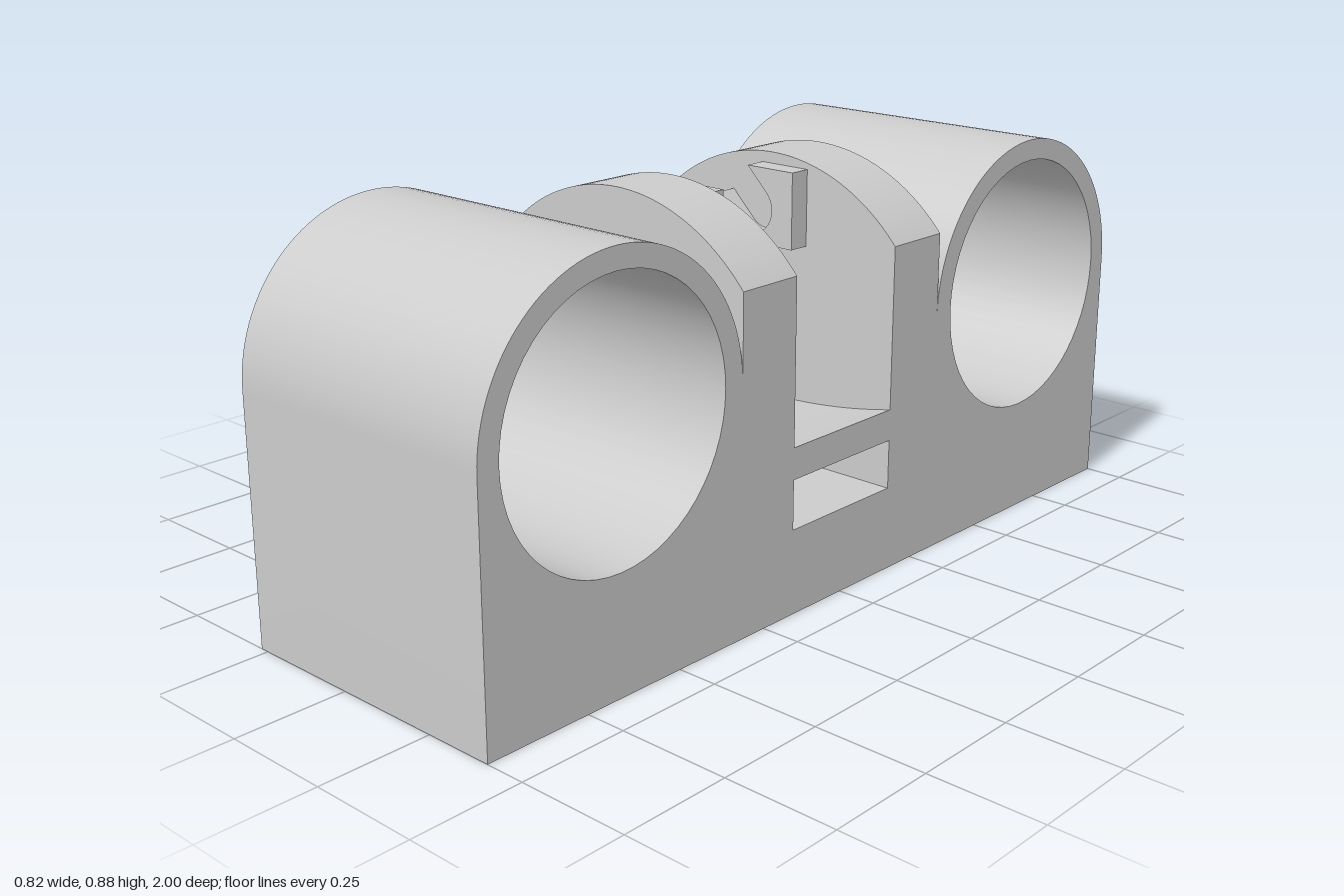
import * as THREE from 'three';
import { toCreasedNormals } from 'three/addons/utils/BufferGeometryUtils.js';

const material = new THREE.MeshStandardMaterial({ color: 0xcccccc });

// Extrude a shape drawn in x,y from z = 0 to z = depth
function extrude(shape, depth) {
  const geo = new THREE.ExtrudeGeometry(shape, { depth, bevelEnabled: false, curveSegments: 28 });
  return toCreasedNormals(geo, 0.5);
}

function add(group, name, geometry) {
  const mesh = new THREE.Mesh(geometry, material);
  mesh.name = name;
  group.add(mesh);
  return mesh;
}

function circleHole(x, y, r) {
  const path = new THREE.Path();
  path.absarc(x, y, r, 0, Math.PI * 2, true);
  return path;
}

// Round-topped housing with a bore, running along x
function bearingGeometry() {
  const s = new THREE.Shape();
  s.moveTo(-0.34, 0);
  s.lineTo(0.34, 0);
  s.lineTo(0.34, 0.545);
  s.absarc(0, 0.545, 0.34, 0, Math.PI, false);
  s.lineTo(-0.34, 0);
  s.holes.push(circleHole(0, 0.548, 0.29));
  return extrude(s, 0.68).rotateY(-Math.PI / 2).translate(0.41, 0, 0);
}

// Arched side plate with a sloped rear edge
function cheekGeometry(withPinHole) {
  const s = new THREE.Shape();
  s.moveTo(-0.41, 0);
  s.lineTo(0.41, 0);
  s.lineTo(0.41, 0.73);
  s.absarc(0.07, 0.435, 0.45, Math.atan2(0.295, 0.34), Math.atan2(0.61, -0.79), false);
  s.lineTo(-0.41, 0.545);
  s.lineTo(-0.41, 0);
  if (withPinHole) s.holes.push(circleHole(-0.335, 0.245, 0.028));
  return extrude(s, 0.16);
}

// Small axle socket, open diagonally towards the upper rear corner
function socketGeometry() {
  const cx = 0.058, cy = 0.768, r = 0.055;
  const sum = cx + cy, off = r * Math.SQRT2;
  const s = new THREE.Shape();
  s.moveTo(-0.04, 0.69);
  s.lineTo(0.17, 0.69);
  s.lineTo(0.17, 0.86);
  s.lineTo(sum + off - 0.86, 0.86);
  s.absarc(cx, cy, r, Math.PI / 4, -Math.PI * 3 / 4, true);
  s.lineTo(-0.04, sum - off + 0.04);
  s.lineTo(-0.04, 0.69);
  return extrude(s, 0.05);
}

// Bridge between the plates, with a shallow trough on top
function bridgeGeometry() {
  const s = new THREE.Shape();
  s.moveTo(-0.41, 0.30);
  s.lineTo(0.41, 0.30);
  s.lineTo(0.41, 0.37);
  s.quadraticCurveTo(0.07, 0.29, -0.27, 0.37);
  s.lineTo(-0.41, 0.37);
  s.lineTo(-0.41, 0.30);
  return extrude(s, 0.32).translate(0, 0, -0.16);
}

export function createModel() {
  const model = new THREE.Group();
  model.name = 'bearingCarriage';

  // Paired parts on both sides of the centre
  for (const side of [1, -1]) {
    const label = side > 0 ? 'front' : 'back';
    add(model, label + 'BearingHousing', bearingGeometry()).position.z = side * 0.66;
    add(model, label + 'Cheek', cheekGeometry(side > 0)).position.z = side > 0 ? 0.16 : -0.32;
    add(model, label + 'AxleSocket', socketGeometry()).position.z = side > 0 ? 0.11 : -0.16;
  }

  // Centre: base below the slot and bridge above it
  add(model, 'centreBase', new THREE.BoxGeometry(0.82, 0.19, 0.32).translate(0, 0.095, 0));
  add(model, 'troughBridge', bridgeGeometry());

  return model;
}
